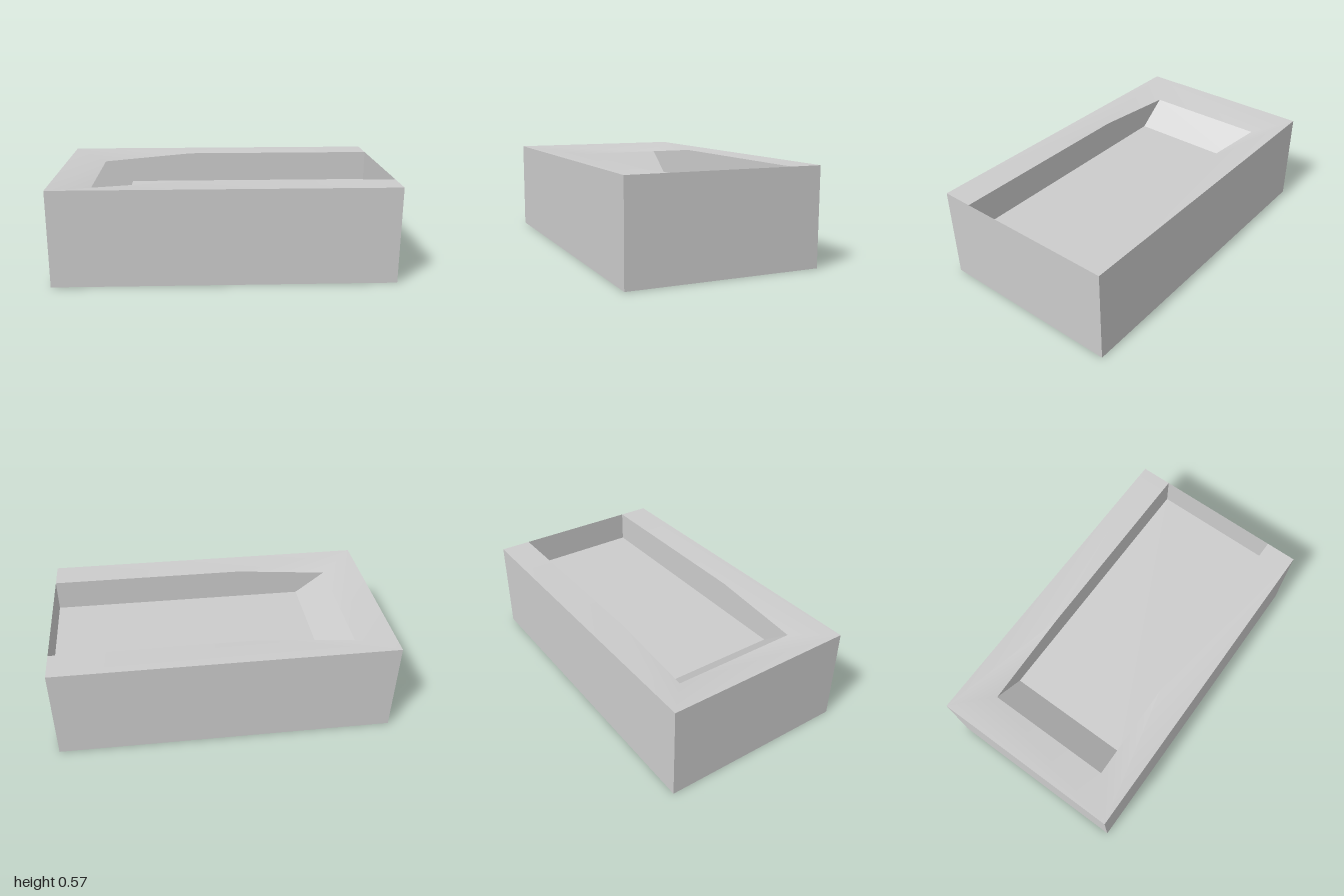
import * as THREE from 'three';

const L = 1, W = 0.572, H = 0.572;      // outer half length, half width, height
const w = 0.383, floorY = 0.38;         // recess half width and floor height
const rampTop = -0.78, rampFoot = -0.6; // sloping end of the recess
const dipY = 0.52, dipEnd = -0.2;       // rim sinks towards the ramp

const material = new THREE.MeshStandardMaterial({ color: 0xcccccc, side: THREE.DoubleSide });

function surface(name, points, index) {
  const geometry = new THREE.BufferGeometry();
  geometry.setAttribute('position', new THREE.Float32BufferAttribute(points.flat(), 3));
  geometry.setIndex(index);
  geometry.computeVertexNormals();
  const mesh = new THREE.Mesh(geometry, material);
  mesh.name = name;
  return mesh;
}

// Flat convex polygon, corners counter-clockwise seen from its front
function panel(name, points) {
  const index = [];
  for (let i = 1; i < points.length - 1; i++) index.push(0, i, i + 1);
  return surface(name, points, index);
}

export function createModel() {
  const group = new THREE.Group();
  group.name = 'recessedBlock';

  // Underside and the two ends; the +x end is a thin sheet closing the recess
  group.add(
    panel('underside', [[-L, 0, -W], [L, 0, -W], [L, 0, W], [-L, 0, W]]),
    panel('rampEnd', [[-L, 0, -W], [-L, 0, W], [-L, H, W], [-L, H, -W]]),
    panel('thinEnd', [[L, 0, W], [L, 0, -W], [L, H, -W], [L, H, W]]),
    panel('recessFloor', [[rampFoot, floorY, w], [L, floorY, w], [L, floorY, -w], [rampFoot, floorY, -w]]),
    panel('recessRamp', [[rampTop, dipY, w], [rampFoot, floorY, w], [rampFoot, floorY, -w], [rampTop, dipY, -w]])
  );

  // Long outer sides and the recess side walls, mirrored in z
  for (const s of [1, -1]) {
    const side = [[-L, 0, s * W], [L, 0, s * W], [L, H, s * W], [-L, H, s * W]];
    const wall = [
      [rampTop, dipY, s * w], [dipEnd, H, s * w], [L, H, s * w],
      [L, floorY, s * w], [rampFoot, floorY, s * w]
    ];
    if (s < 0) { side.reverse(); wall.reverse(); }
    group.add(panel(s > 0 ? 'frontSide' : 'backSide', side));
    group.add(panel(s > 0 ? 'frontRecessWall' : 'backRecessWall', wall));
  }

  // Smooth U-shaped rim: per side outer corner, dipped corner, dip end, inner end, outer end
  const rim = [1, -1].flatMap((s) => [
    [-L, H, s * W], [rampTop, dipY, s * w], [dipEnd, H, s * w], [L, H, s * w], [L, H, s * W]
  ]);
  group.add(surface('rim', rim, [
    0, 2, 1, 0, 4, 2, 4, 3, 2, // front
    5, 6, 7, 5, 7, 9, 9, 7, 8, // back
    0, 1, 6, 0, 6, 5           // ramp end
  ]));

  return group;
}
